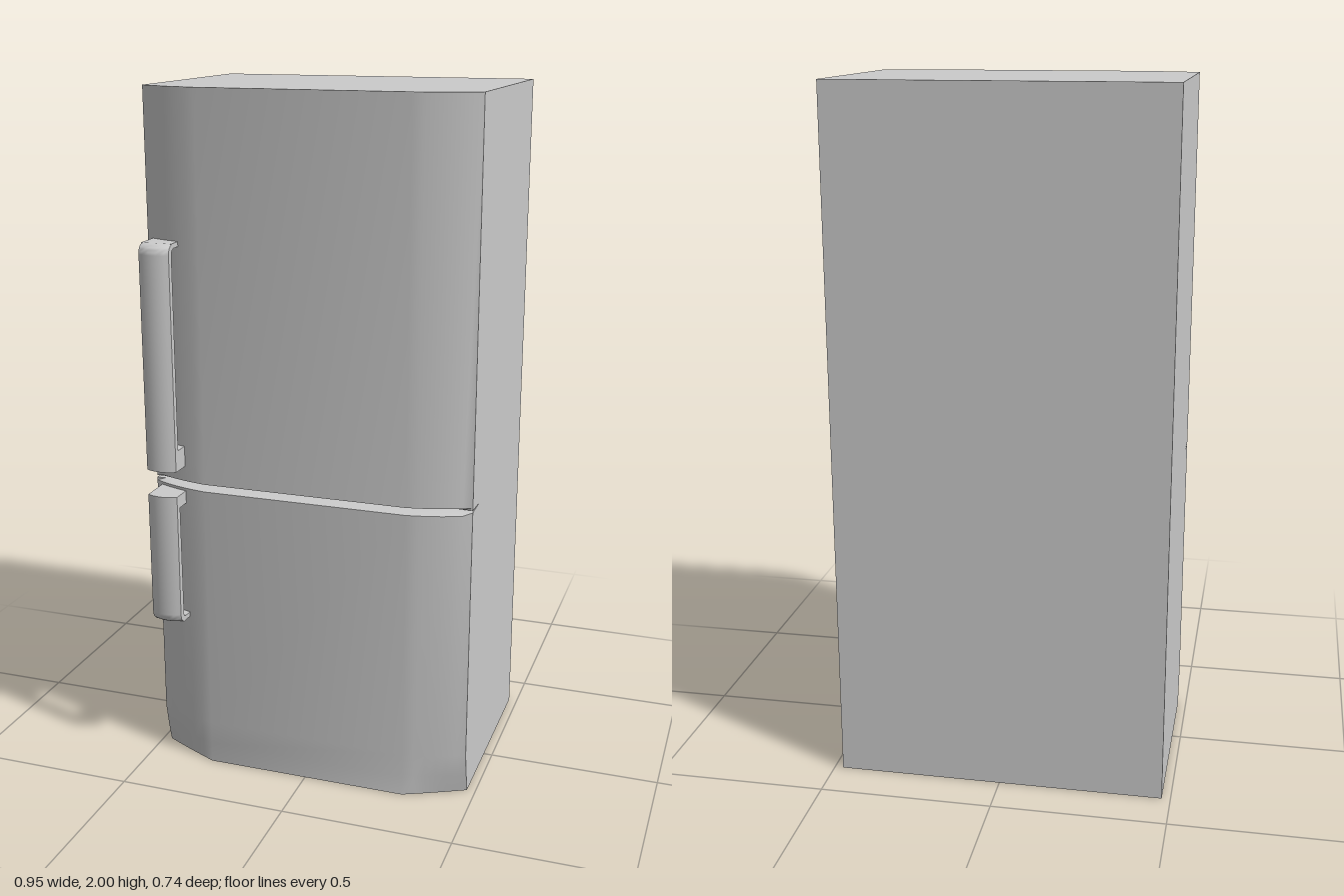
import * as THREE from 'three';
import { toCreasedNormals } from 'three/addons/utils/BufferGeometryUtils.js';

const material = new THREE.MeshStandardMaterial({ color: 0xcccccc });
const HALF = 0.475, BACK = -0.37, FRONT = 0.305, CREASE = 0.6;

// Plan outline at height y: flat back and sides, curved front corners.
// cornerZ is where the side meets the front; maxZ cuts the front back for the door gap.
function outline(y, cornerZ, maxZ) {
  const curve = new THREE.QuadraticBezierCurve(
    new THREE.Vector2(HALF, cornerZ),
    new THREE.Vector2(0.4, cornerZ + 0.04),
    new THREE.Vector2(0.3, FRONT)
  ).getPoints(6);
  const right = [new THREE.Vector2(HALF, BACK), ...curve];
  const left = right.map((p) => new THREE.Vector2(-p.x, p.y));
  return [...left, ...right.reverse()].map((p) => [p.x, y, Math.min(p.y, maxZ)]);
}

// Cabinet lofted through outlines, with a tapered slit between the two doors
function cabinetGeometry() {
  const rings = [
    [0, 0.22, FRONT], [0.06, 0.236, FRONT], [0.13, 0.25, FRONT],
    [0.868, 0.25, FRONT], [0.877, 0.25, 0.25], [0.88, 0.25, 0.17],
    [0.883, 0.25, 0.25], [0.89, 0.25, FRONT], [2, 0.25, FRONT],
  ].map((r) => outline(...r));
  const n = rings[0].length, index = [];
  for (let k = 0; k < rings.length - 1; k++) {
    for (let i = 0; i < n; i++) {
      const a = k * n + i, b = k * n + (i + 1) % n;
      index.push(a, b, b + n, a, b + n, a + n);
    }
  }
  const top = (rings.length - 1) * n;
  for (let i = 1; i < n - 1; i++) {
    index.push(0, i + 1, i, top, top + i, top + i + 1);
  }
  const geometry = new THREE.BufferGeometry();
  geometry.setAttribute('position', new THREE.Float32BufferAttribute(rings.flat(2), 3));
  geometry.setIndex(index);
  return toCreasedNormals(geometry, CREASE);
}

// Handle side profile (z, y): a square mount at one end, a rounded hook at the other
function handleGeometry(mountY, mountHeight, hookY) {
  const s = Math.sign(hookY - mountY);
  const root = 0.25, outer = 0.365, inner = 0.335;
  const shape = new THREE.Shape();
  shape.moveTo(root, mountY);
  shape.lineTo(outer, mountY);
  shape.lineTo(outer, hookY - s * 0.03);
  shape.quadraticCurveTo(outer, hookY - s * 0.004, 0.335, hookY);
  shape.lineTo(root, hookY);
  shape.lineTo(root, hookY - s * 0.014);
  shape.lineTo(0.318, hookY - s * 0.014);
  shape.quadraticCurveTo(inner, hookY - s * 0.016, inner, hookY - s * 0.035);
  shape.lineTo(inner, mountY + s * mountHeight);
  shape.lineTo(root, mountY + s * mountHeight);
  const width = 0.09;
  const geometry = new THREE.ExtrudeGeometry(shape, {
    depth: width, steps: 8, bevelEnabled: false, curveSegments: 6,
  });
  geometry.rotateY(-Math.PI / 2).translate(width / 2, 0, 0);
  // Bow the outer face across its width
  const pos = geometry.attributes.position;
  for (let i = 0; i < pos.count; i++) {
    const u = pos.getX(i) / (width / 2);
    if (pos.getZ(i) > inner + 0.005) pos.setZ(i, pos.getZ(i) - 0.012 * u * u);
  }
  return toCreasedNormals(geometry, CREASE);
}

export function createModel() {
  const group = new THREE.Group();
  group.name = 'refrigerator';
  const add = (name, geometry, x = 0) => {
    const mesh = new THREE.Mesh(geometry, material);
    mesh.name = name;
    mesh.position.x = x;
    group.add(mesh);
  };
  add('cabinet', cabinetGeometry());
  add('upperDoorHandle', handleGeometry(0.935, 0.06, 1.585), -0.41);
  add('lowerDoorHandle', handleGeometry(0.86, 0.037, 0.465), -0.41);
  return group;
}
